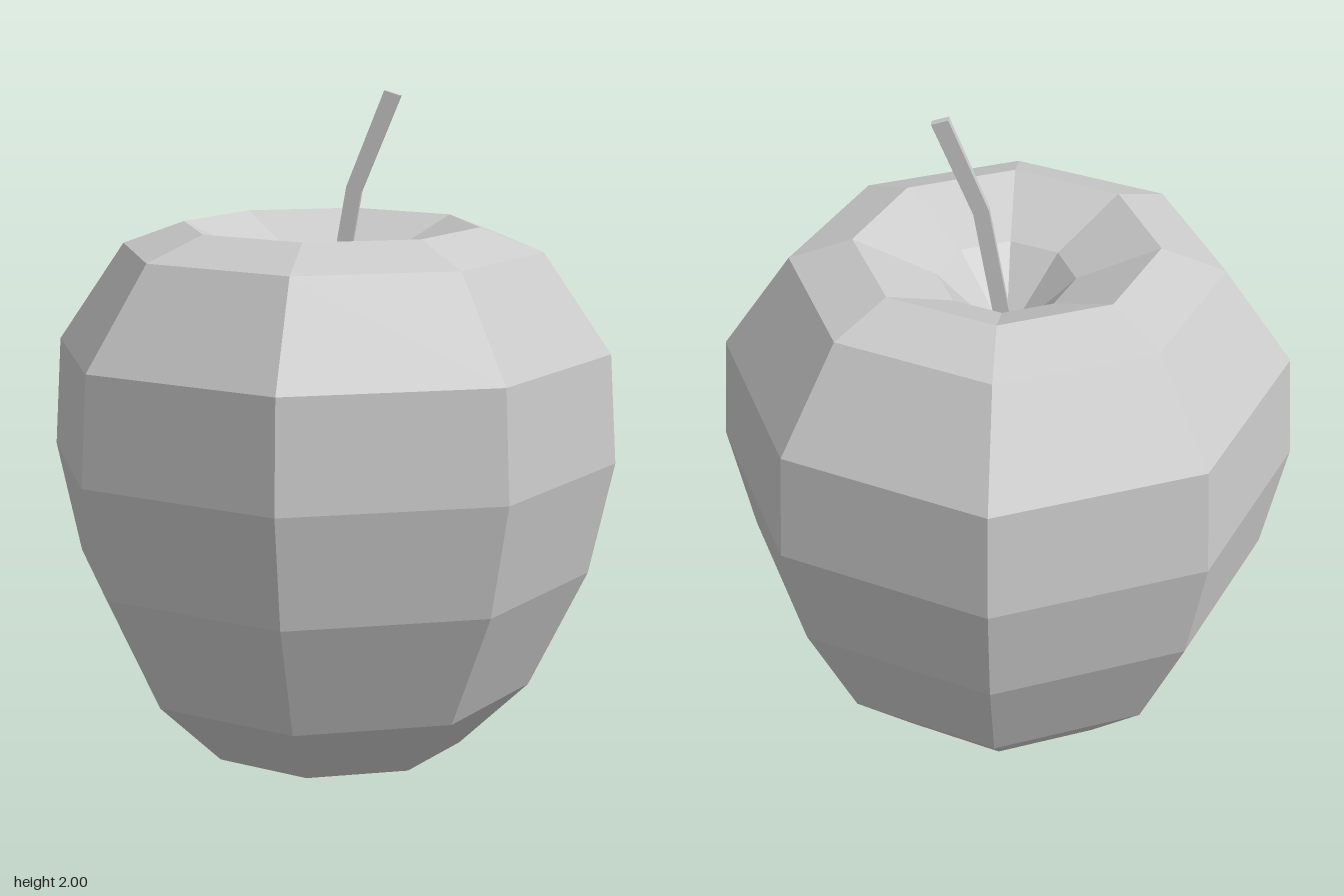
import * as THREE from 'three';

export function createModel() {
  const group = new THREE.Group();
  const material = new THREE.MeshStandardMaterial({ color: 0xcccccc, flatShading: true });

  // Eight-sided fruit body: bottom hollow, outer wall, then top dimple
  const profile = [
    [0, 0.45], [0.16, 0.07], [0.405, 0], [0.615, 0.2], [0.79, 0.56], [0.865, 0.9],
    [0.845, 1.23], [0.64, 1.53], [0.45, 1.6], [0.205, 1.49], [0, 1.28],
  ].map(([r, y]) => new THREE.Vector2(r, y));
  const body = new THREE.Mesh(new THREE.LatheGeometry(profile, 8), material);
  body.name = 'fruitBody';
  group.add(body);

  // Bent stem with a rectangular section, rising from the dimple
  const outline = new THREE.Shape([
    [-0.025, 1.28], [0.022, 1.27], [0.095, 1.7], [0.212, 1.985], [0.163, 2], [0.05, 1.715],
  ].map(([x, y]) => new THREE.Vector2(x, y)));
  const depth = 0.026;
  const stemGeometry = new THREE.ExtrudeGeometry(outline, { depth, bevelEnabled: false });
  stemGeometry.translate(0, 0, -depth / 2);
  const stem = new THREE.Mesh(stemGeometry, material);
  stem.name = 'stem';
  group.add(stem);

  return group;
}
